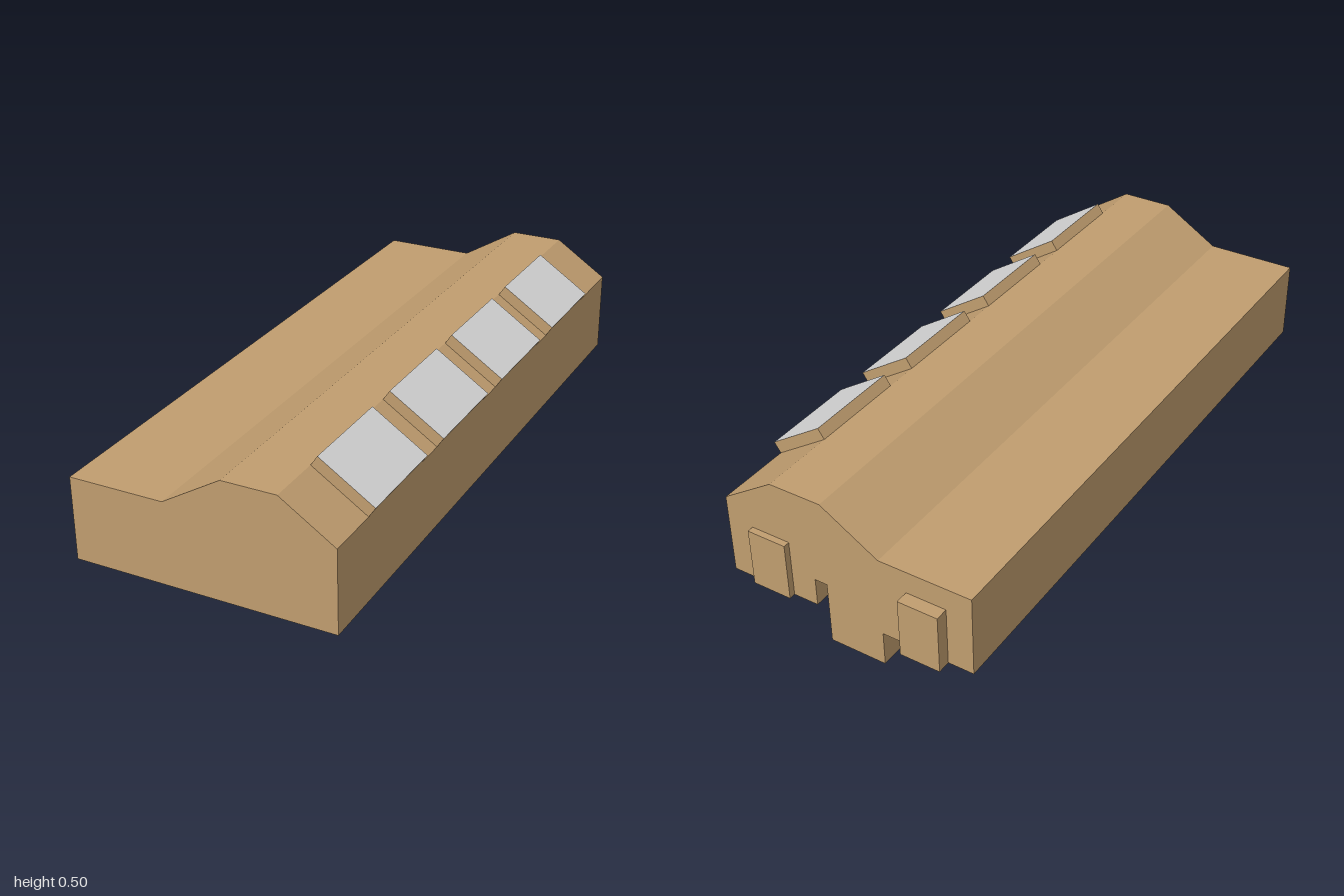
import * as THREE from 'three';

export function createModel() {
  const model = new THREE.Group();
  const tan = new THREE.MeshStandardMaterial({ color: 0xc09d6f });
  tan.name = 'tan';
  const paleGrey = new THREE.MeshStandardMaterial({ color: 0xd5d5d5 });
  paleGrey.name = 'pale grey';

  const add = (name, geometry, material = tan) => {
    const mesh = new THREE.Mesh(geometry, material);
    mesh.name = name;
    model.add(mesh);
    return mesh;
  };

  // Box given by its limits on each axis
  const block = (name, x0, x1, y0, y1, z0, z1) =>
    add(name, new THREE.BoxGeometry(x1 - x0, y1 - y0, z1 - z0))
      .position.set((x0 + x1) / 2, (y0 + y1) / 2, (z0 + z1) / 2);

  // Cross-section extruded from z0 to z1
  const hull = (name, points, z0, z1) => {
    const shape = new THREE.Shape(points.map(([x, y]) => new THREE.Vector2(x, y)));
    add(name, new THREE.ExtrudeGeometry(shape, { depth: z1 - z0, bevelEnabled: false }))
      .position.z = z0;
  };

  // Main hall with a raised roof on one side; the back end has a small doorway recess
  const roof = [[0.39, 0.11], [0.39, 0.365], [0.225, 0.474], [0.06, 0.474],
    [-0.12, 0.365], [-0.41, 0.365], [-0.41, 0.11]];
  const doorway = [[0.06, 0.11], [0.06, 0.2], [0.1, 0.2], [0.1, 0.11]];
  const back = -0.96, recess = -0.87;
  hull('hall', roof, recess, 1);
  hull('backEnd', [...roof, ...doorway], back, recess);

  // Long base below and two slabs on the back wall
  block('base', -0.12, 0.06, 0, 0.11, back, 0.78);
  block('backSlabWide', -0.33, -0.205, 0.11, 0.295, -1, back);
  block('backSlabThin', 0.18, 0.305, 0.11, 0.295, -0.98, back);

  // Skylights lying on the roof slope, with grey top faces
  const run = 0.165, drop = 0.109, thick = 0.036;
  const length = Math.hypot(run, drop);
  const faces = [tan, tan, paleGrey, tan, tan, tan];
  for (let i = 0; i < 4; i++) {
    const light = add('skylight' + (i + 1), new THREE.BoxGeometry(length, thick, 0.31), faces);
    light.rotation.z = -Math.atan2(drop, run);
    light.position.set(
      0.3075 + (drop / length) * thick / 2,
      0.4195 + (run / length) * thick / 2,
      -0.57 + i * 0.415);
  }
  return model;
}
